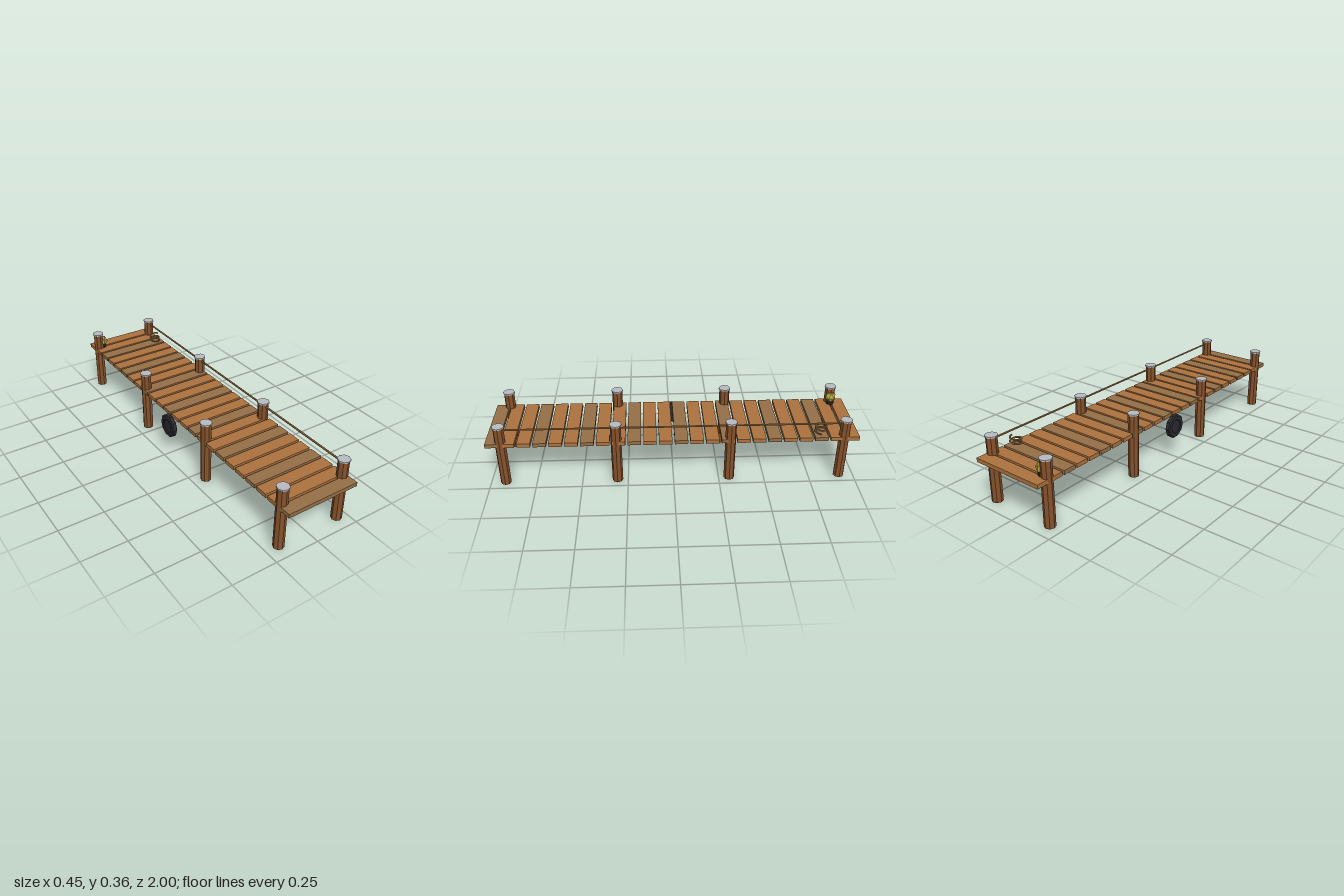
import * as THREE from 'three';

const mat = (name, color, extra = {}) => {
  const m = new THREE.MeshStandardMaterial({ color, flatShading: true, ...extra });
  m.name = name;
  return m;
};

export function createModel() {
  const dock = new THREE.Group();
  dock.name = 'dock';

  const postWood = mat('post wood', 0x87532c);
  const plankWood = mat('plank wood', 0xad733f);
  const wornWood = mat('worn plank wood', 0x967046);
  const capMetal = mat('cap metal', 0xb9bdc2);
  const ropeFibre = mat('rope fibre', 0xa07848);
  const rubber = mat('dark rubber', 0x2b2b31);
  const glow = mat('lamp yellow', 0xb9ab3e);

  const add = (name, geometry, material, x, y, z) => {
    const mesh = new THREE.Mesh(geometry, material);
    mesh.name = name;
    mesh.position.set(x, y, z);
    dock.add(mesh);
    return mesh;
  };

  // Deck: evenly spaced planks, every third one worn
  const count = 24, pitch = 2 / (count - 0.15), plankDepth = pitch * 0.85;
  const plankGeo = new THREE.BoxGeometry(0.413, 0.022, plankDepth);
  for (let i = 0; i < count; i++) {
    add('plank', plankGeo, i % 3 === 2 ? wornWood : plankWood,
      0.0075, 0.251, -1 + plankDepth / 2 + i * pitch);
  }

  // Posts with metal caps
  const leftX = 0.191, rightX = -0.176;
  const postGeo = new THREE.CylinderGeometry(0.029, 0.029, 0.352, 8);
  const capGeo = new THREE.CylinderGeometry(0.033, 0.033, 0.008, 8);
  for (const x of [rightX, leftX]) {
    for (const z of [-0.92, -0.307, 0.307, 0.92]) {
      add('post', postGeo, postWood, x, 0.176, z);
      add('postCap', capGeo, capMetal, x, 0.356, z);
    }
  }

  // Rope rail along the left posts
  const railGeo = new THREE.CylinderGeometry(0.0055, 0.0055, 1.84, 6);
  add('ropeRail', railGeo, ropeFibre, leftX, 0.337, 0).rotation.x = Math.PI / 2;

  // Rope coil lying on the deck
  const coilPoints = [];
  for (let i = 0; i <= 32; i++) {
    const a = (i / 32) * Math.PI * 4;
    coilPoints.push(new THREE.Vector3(Math.cos(a) * 0.028, (i / 32) * 0.043, Math.sin(a) * 0.028));
  }
  const coilGeo = new THREE.TubeGeometry(new THREE.CatmullRomCurve3(coilPoints), 48, 0.005, 6);
  add('ropeCoil', coilGeo, ropeFibre, 0.164, 0.27, -0.796);

  // Tyre fender hung on the right edge, with a shallow dished centre
  const tyreProfile = [
    [0, -0.010], [0.036, -0.010], [0.040, -0.0145], [0.060, -0.0145], [0.067, -0.009],
    [0.067, 0.009], [0.060, 0.0145], [0.040, 0.0145], [0.036, 0.010], [0, 0.010],
  ].map(([r, y]) => new THREE.Vector2(r, y));
  const tyre = add('tyreFender', new THREE.LatheGeometry(tyreProfile, 10), rubber, -0.2125, 0.185, 0);
  tyre.rotation.z = Math.PI / 2;

  // Lantern beside the rear right post
  add('lanternBase', new THREE.CylinderGeometry(0.022, 0.022, 0.014, 8), rubber, -0.149, 0.269, -0.92);
  add('lanternLamp', new THREE.IcosahedronGeometry(0.032, 0), glow, -0.149, 0.303, -0.92);

  return dock;
}
